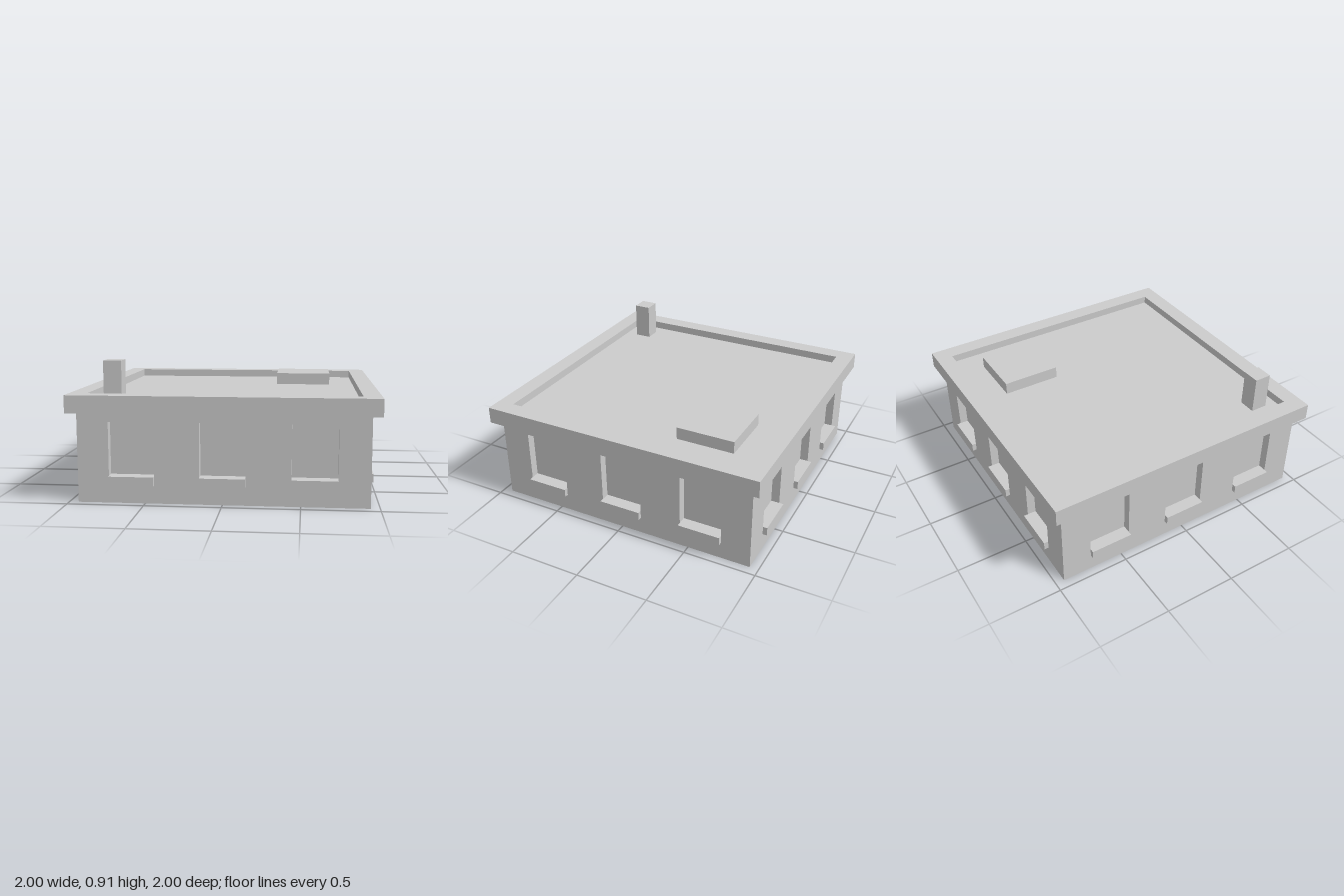
import * as THREE from 'three';

const IN = 0.882, OUT = 0.94, EAVE = 0.59, ROOF = 0.65, TOP = 0.705;
const WIN = { xs: [-0.588, 0, 0.588], w: 0.295, bottom: 0.12, top: 0.53 };

export function createModel() {
  const model = new THREE.Group();
  model.name = 'flatRoofBuilding';
  const material = new THREE.MeshStandardMaterial({ color: 0xcccccc, flatShading: true });

  const add = (parent, name, geometry) => {
    const mesh = new THREE.Mesh(geometry, material);
    mesh.name = name;
    parent.add(mesh);
    return mesh;
  };
  // Box given by its minimum and maximum corners
  const box = (parent, name, [x0, y0, z0], [x1, y1, z1]) =>
    add(parent, name, new THREE.BoxGeometry(x1 - x0, y1 - y0, z1 - z0))
      .position.set((x0 + x1) / 2, (y0 + y1) / 2, (z0 + z1) / 2);
  // Adds the corners of a rectangle to a shape or path
  const rect = (path, x0, y0, x1, y1) =>
    path.moveTo(x0, y0).lineTo(x1, y0).lineTo(x1, y1).lineTo(x0, y1).closePath();

  // Inner block: window panes on its sides, roof deck on top
  box(model, 'coreAndRoofDeck', [-IN, 0, -IN], [IN, ROOF, IN]);

  // Four outer walls with window openings and sills
  ['front', 'left', 'back', 'right'].forEach((side, i) => {
    const wall = new THREE.Group();
    wall.name = side + 'Wall';
    wall.rotation.y = i * Math.PI / 2;
    model.add(wall);

    const half = i % 2 ? IN : OUT; // side walls fit between front and back
    const shape = rect(new THREE.Shape(), -half, 0, half, EAVE);
    for (const x of WIN.xs) {
      const x0 = x - WIN.w / 2, x1 = x + WIN.w / 2;
      shape.holes.push(rect(new THREE.Path(), x0, WIN.bottom, x1, WIN.top));
      box(wall, 'windowSill', [x0, WIN.bottom, IN], [x1, 0.178, 0.97]);
    }
    const panel = new THREE.ExtrudeGeometry(shape, { depth: OUT - IN, bevelEnabled: false });
    add(wall, 'wallPanel', panel.translate(0, 0, IN));
  });

  // Overhanging parapet ring around the roof
  const ring = rect(new THREE.Shape(), -1, -1, 1, 1);
  ring.holes.push(rect(new THREE.Path(), -IN, -IN, IN, IN));
  const parapet = new THREE.ExtrudeGeometry(ring, { depth: TOP - EAVE, bevelEnabled: false });
  add(model, 'parapet', parapet.rotateX(-Math.PI / 2).translate(0, EAVE, 0));

  // Roof fittings
  box(model, 'chimney', [-0.795, ROOF, 0.675], [-0.675, 0.91, 0.795]);
  box(model, 'roofHatch', [0.295, ROOF, -0.705], [0.702, 0.735, -0.298]);

  return model;
}
